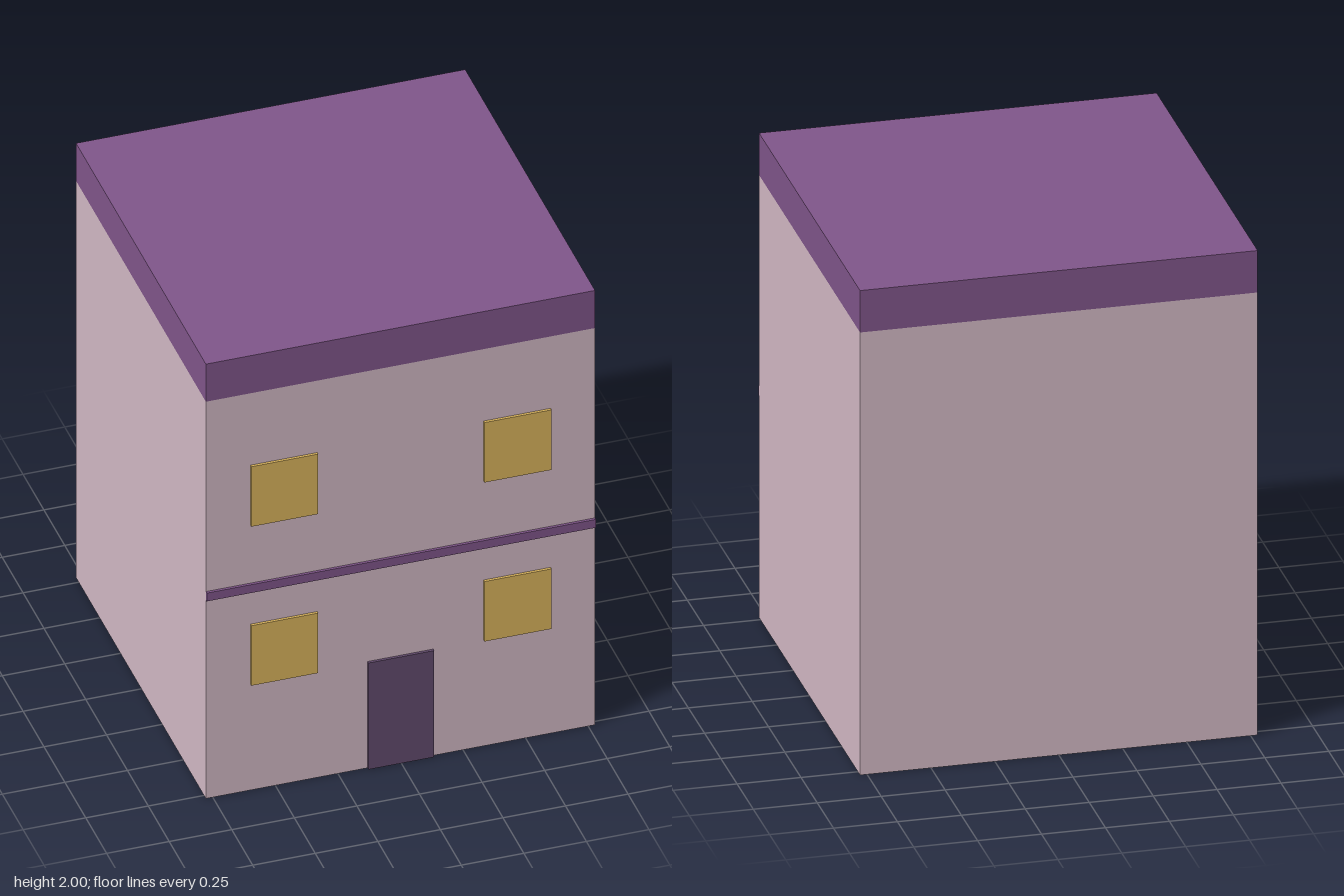
import * as THREE from 'three';

const BACK = -0.783, WALL_FRONT = 0.772, FRONT = 0.783;
const WIDTH = 1.555;

export function createModel() {
  const house = new THREE.Group();
  house.name = 'house';

  const paint = (color) => new THREE.MeshStandardMaterial({ color });
  const wallPaint = paint(0xd4bac6);
  const purple = paint(0x81568b);
  const yellow = paint(0xdcb65e);
  const doorPaint = paint(0x644c6f);

  // Box given by its centre x, width, height range and depth range
  function addBox(name, material, x, width, y0, y1, z0, z1) {
    const mesh = new THREE.Mesh(new THREE.BoxGeometry(width, y1 - y0, z1 - z0), material);
    mesh.name = name;
    mesh.position.set(x, (y0 + y1) / 2, (z0 + z1) / 2);
    house.add(mesh);
  }

  // Main block and flat roof
  addBox('walls', wallPaint, 0, WIDTH, 0, 1.827, BACK, WALL_FRONT);
  addBox('roof', purple, 0, WIDTH, 1.827, 2, BACK, WALL_FRONT);

  // Thin trim on the facade
  addBox('floorBand', purple, 0, WIDTH, 0.915, 0.953, WALL_FRONT, FRONT);
  addBox('door', doorPaint, 0, 0.262, 0, 0.49, WALL_FRONT, FRONT);

  // Two windows on each floor
  for (const [floor, y] of [['lower', 0.488], ['upper', 1.22]]) {
    for (const [side, sign] of [['Left', 1], ['Right', -1]]) {
      addBox(`${floor}${side}Window`, yellow, sign * 0.466, 0.267, y, y + 0.276, WALL_FRONT, FRONT);
    }
  }

  return house;
}
